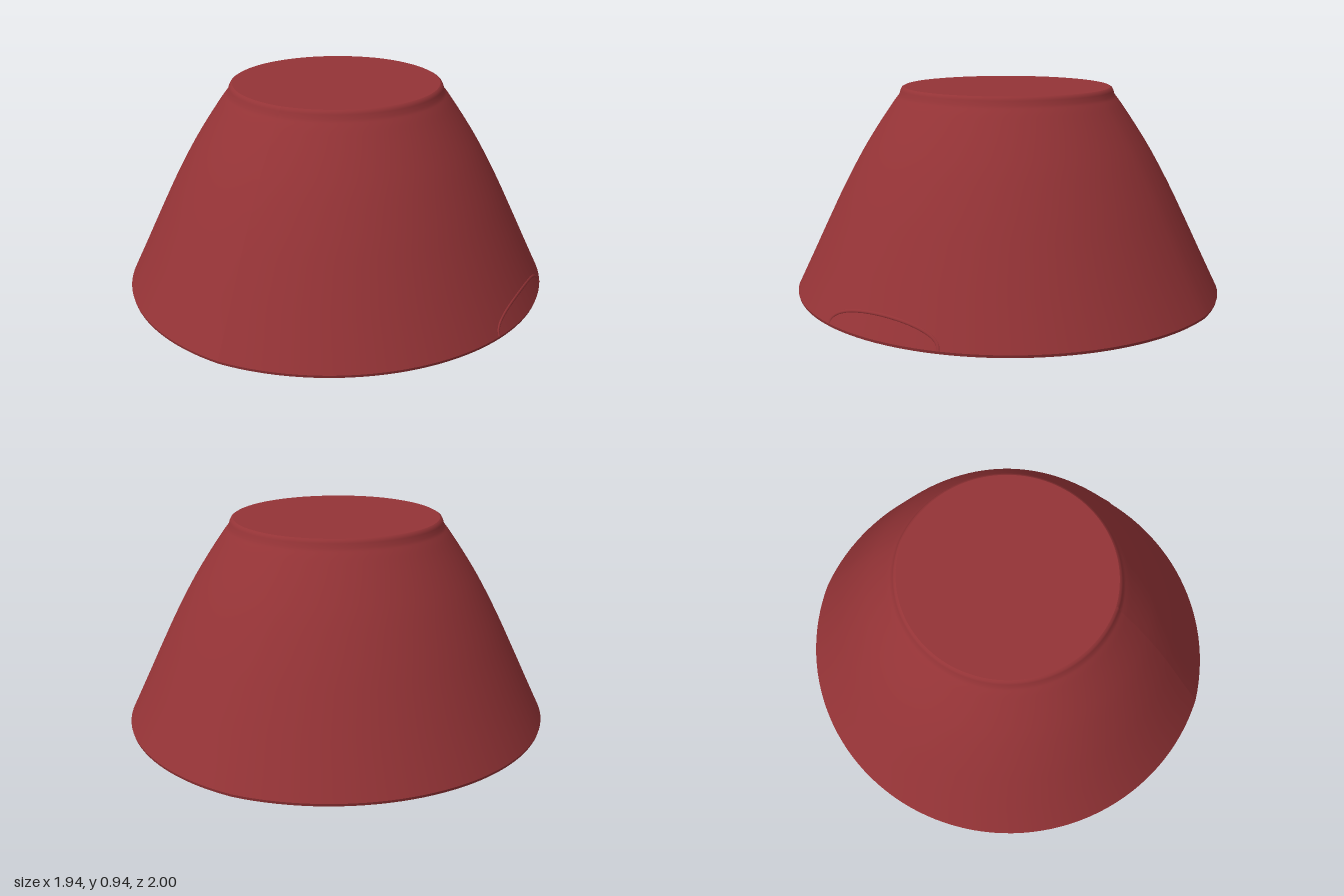
import * as THREE from 'three';

const HEIGHT = 0.935;
// Side profile as [radius, height], from the wide rim up to the foot
const WALL = [[0.968, 0.012], [0.9, 0.155], [0.82, 0.325], [0.745, 0.48], [0.665, 0.63],
  [0.595, 0.745], [0.525, 0.85], [0.497, 0.888]];
const FOOT = [[0.497, 0.888], [0.488, 0.9], [0.483, 0.918], [0.477, 0.93], [0.468, HEIGHT]];

const toPoints = (list) => list.map(([r, y]) => new THREE.Vector2(r, y));

// Widens towards +z and -z, leaving a faint point at each end
function stretch(x, z, y) {
  const t = Math.atan2(Math.abs(z), Math.abs(x)) / (Math.PI / 2);
  return 1 + (0.031 - 0.012 * y / HEIGHT) * t * t;
}

function turned(points) {
  const geometry = new THREE.LatheGeometry(points, 128);
  const p = geometry.attributes.position;
  for (let i = 0; i < p.count; i++) {
    const s = stretch(p.getX(i), p.getZ(i), p.getY(i));
    p.setXYZ(i, p.getX(i) * s, p.getY(i), p.getZ(i) * s);
  }
  geometry.computeVertexNormals();
  return geometry;
}

export function createModel() {
  const group = new THREE.Group();
  group.name = 'upturnedBowl';
  const material = new THREE.MeshStandardMaterial({ color: 0x943336 });
  const add = (name, geometry) => {
    const mesh = new THREE.Mesh(geometry, material);
    mesh.name = name;
    group.add(mesh);
  };

  const wallCurve = new THREE.SplineCurve(toPoints(WALL));
  add('bowlWall', turned(wallCurve.getPoints(32)));
  add('footRing', turned(toPoints(FOOT)));
  add('footCap', turned(toPoints([[0.468, HEIGHT], [0, HEIGHT]])));
  add('rimEdge', turned(toPoints([[0.965, 0], [0.968, 0.012]])));
  add('rimCap', turned(toPoints([[0, 0], [0.965, 0]])));

  // Faint arched ridge on the left side, mostly sunk into the wall
  const arch = [];
  for (let i = 0; i <= 16; i++) {
    const a = Math.PI * i / 16;
    const y = 0.012 + 0.09 * Math.sin(a);
    const z = 0.28 * Math.cos(a);
    const radius = 0.968 - 0.475 * (y - 0.012);
    const x = Math.sqrt(radius * radius - z * z);
    const s = stretch(x, z, y);
    arch.push(new THREE.Vector3(x * s - 0.006, y, z * s));
  }
  add('archRidge', new THREE.TubeGeometry(new THREE.CatmullRomCurve3(arch), 48, 0.009, 8));

  return group;
}
